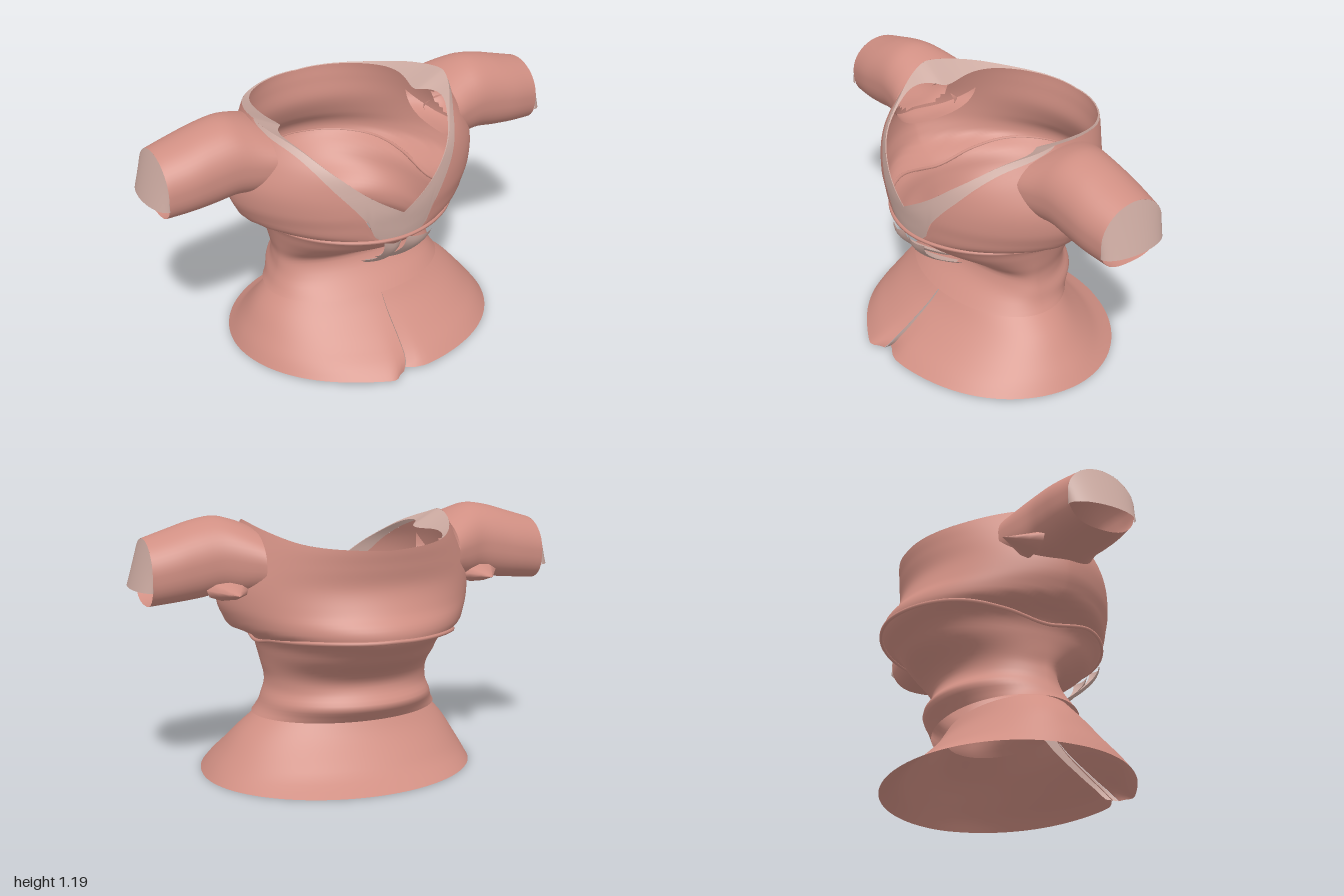
import * as THREE from 'three';
import { mergeVertices } from 'three/addons/utils/BufferGeometryUtils.js';

const PI = Math.PI;
const lerp = THREE.MathUtils.lerp;
const paint = (name, color) => {
  const m = new THREE.MeshStandardMaterial({ color, side: THREE.DoubleSide });
  m.name = name;
  return m;
};

// Smooth interpolation through [key, value...] rows; k picks the value column
function curve(rows, k = 1) {
  const n = rows.length;
  const slope = (i) => {
    const a = rows[Math.max(i - 1, 0)], b = rows[Math.min(i + 1, n - 1)];
    return (b[k] - a[k]) / (b[0] - a[0]);
  };
  return (x) => {
    x = Math.min(Math.max(x, rows[0][0]), rows[n - 1][0]);
    let i = 0;
    while (i < n - 2 && x > rows[i + 1][0]) i++;
    const a = rows[i], b = rows[i + 1], h = b[0] - a[0], s = (x - a[0]) / h;
    const s2 = s * s, s3 = s2 * s;
    return a[k] * (2 * s3 - 3 * s2 + 1) + b[k] * (3 * s2 - 2 * s3)
      + h * (slope(i) * (s3 - 2 * s2 + s) + slope(i + 1) * (s3 - s2));
  };
}

// Grid surface from point(u, v) with u, v in 0..1; quads matching skip are left open
function surface(point, nu, nv, skip) {
  const pos = [], idx = [], w = nu + 1;
  for (let j = 0; j <= nv; j++)
    for (let i = 0; i <= nu; i++) pos.push(...point(i / nu, j / nv));
  for (let j = 0; j < nv; j++)
    for (let i = 0; i < nu; i++) {
      if (skip && skip(...point((i + 0.5) / nu, (j + 0.5) / nv))) continue;
      const a = j * w + i, b = a + w;
      idx.push(a, a + 1, b + 1, a, b + 1, b);
    }
  let g = new THREE.BufferGeometry();
  g.setAttribute('position', new THREE.Float32BufferAttribute(pos, 3));
  g.setIndex(idx);
  g = mergeVertices(g, 1e-5);
  g.computeVertexNormals();
  return g;
}

// Rows are [height, half width, front depth, back depth, taper]; taper over 1 narrows the diagonals
const ringFrom = (rows) => {
  const [rx, zf, zb, taper] = [1, 2, 3, 4].map((k) => curve(rows, k));
  return (t, y, s = 1) => {
    const c = Math.cos(t), d = Math.abs(c) ** taper(y);
    return [s * rx(y) * Math.sin(t), y, s * (c > 0 ? d * zf(y) : -d * zb(y))];
  };
};

const body = ringFrom([
  [0.27, 0.445, 0.295, 0.305, 1], [0.30, 0.425, 0.265, 0.33, 1], [0.35, 0.405, 0.21, 0.37, 1],
  [0.40, 0.39, 0.175, 0.335, 1], [0.45, 0.385, 0.17, 0.325, 0.95], [0.50, 0.395, 0.25, 0.36, 1],
  [0.57, 0.41, 0.36, 0.46, 1.05], [0.62, 0.425, 0.41, 0.51, 1.1], [0.655, 0.455, 0.44, 0.55, 1.15],
  [0.69, 0.54, 0.445, 0.58, 1.25], [0.74, 0.575, 0.45, 0.575, 1.3], [0.80, 0.60, 0.455, 0.53, 1.3],
  [0.90, 0.60, 0.445, 0.49, 1.25], [1.00, 0.56, 0.42, 0.50, 1.25], [1.10, 0.51, 0.34, 0.51, 1.25],
  [1.17, 0.48, 0.28, 0.47, 1.2],
]);
const skirt = ringFrom([
  [0, 0.64, 0.575, 0.53, 1], [0.05, 0.61, 0.52, 0.44, 1], [0.1, 0.575, 0.45, 0.385, 1],
  [0.2, 0.5, 0.33, 0.29, 1], [0.29, 0.405, 0.255, 0.235, 1],
]);

// Heights of the seams, by angle from the front (0) to the back (PI)
const fold = (t) => (t > PI ? 2 * PI - t : t);
const bandRow = curve([[0, 0.655], [1, 0.66], [1.6, 0.62], [2, 0.655], [2.5, 0.685], [PI, 0.695]]);
const neckRow = curve([[0, 0.785], [0.22, 0.87], [0.5, 0.985], [0.85, 1.09], [1.3, 1.15],
  [1.6, 1.165], [2, 1.14], [2.5, 1.09], [PI, 1.07]]);
const trimRow = curve([[0.25, 0.69], [0.28, 0.76], [0.48, 0.905], [0.8, 1.045], [1.2, 1.12], [1.5, 1.16]]);
const bandY = (t) => bandRow(fold(t));
const neckY = (t) => neckRow(fold(t));
const trimY = (t) => {
  const f = fold(t);
  if (f < 0.25) return bandY(t);
  return f > 1.5 ? neckY(t) : Math.min(trimRow(f), neckY(t));
};

export function createModel() {
  const root = new THREE.Group();
  const rose = paint('rose cloth', 0xd08f83);
  const pale = paint('pale lining', 0xcdaba2);
  const add = (name, geo, mat, parent = root) => {
    const m = new THREE.Mesh(geo, mat);
    m.name = name;
    parent.add(m);
    return m;
  };

  // Bodice with open armholes, V neck trim and shoulder facing
  const armhole = (x, y, z) => Math.abs(x) > 0.3 && ((z + 0.02) / 0.13) ** 2 + ((y - 0.95) / 0.09) ** 2 < 1;
  add('bodice', surface((u, v) => {
    const t = u * 2 * PI;
    return body(t, lerp(bandY(t), trimY(t), v));
  }, 144, 24, armhole), rose);
  add('neckTrim', surface((u, v) => {
    const t = lerp(-1.5, 1.5, u);
    return body(t, lerp(trimY(Math.abs(t)), neckY(Math.abs(t)), v));
  }, 96, 6), pale);
  add('neckFacing', surface((u, v) => {
    const t = u * 2 * PI, w = 0.13 * Math.exp(-(((fold(t) - 1.65) / 0.5) ** 2)) + 0.004;
    const [x, y, z] = body(t, neckY(t));
    const k = 1 - (v * w) / Math.hypot(x, z);
    return [x * k, y - v * w * 0.55, z * k];
  }, 96, 3), pale);

  // Under-bust seam ridge
  const seam = [];
  for (let i = 0; i < 48; i++) {
    const t = (i / 48) * 2 * PI;
    seam.push(new THREE.Vector3(...body(t, bandY(t), 1.012)));
  }
  add('bustSeam', new THREE.TubeGeometry(new THREE.CatmullRomCurve3(seam, true), 144, 0.009, 6, true), rose);

  // Waist with soft gathers above a flat hem
  add('waist', surface((u, v) => {
    const t = u * 2 * PI, y = lerp(0.275, bandY(t), v);
    return body(t, y, 1 + 0.03 * Math.sin(3 * t + y * 60) * v * Math.max(0, 1 - v * 2));
  }, 96, 24), rose);
  add('waistFacing', surface((u, v) =>
    body(lerp(-1, 1, u) * lerp(0.06, 0.14, v), lerp(0.42, 0.65, v), 0.975), 6, 10), pale);

  // Flared peplum, split at the front with the left edge tucked under the right
  const flare = (t, v) => {
    const f = fold(t), front = Math.max(0, Math.cos(t));
    const [x, y, z] = skirt(t, 0.29 * (1 - v));
    const notch = 0.05 * v ** 4 * Math.exp(-((f / 0.08) ** 2));
    const lap = 0.035 * v * Math.exp(-(((2 * PI - t) / 0.3) ** 2));
    const shift = 0.035 * v * (1 - 1.6 * Math.exp(-((f / 0.5) ** 2)));
    const hook = 0.03 * v ** 8 * Math.exp(-((f / 0.15) ** 2));
    return [x + shift - hook, y + 0.015 * front * v, z + lap - notch];
  };
  add('peplum', surface((u, v) => flare(u * 2 * PI, 1 - v), 144, 14), rose);
  add('peplumPlacket', surface((u, v) => {
    const [x, y, z] = flare(2 * PI, 1 - v);
    return [x + 0.003 + 0.006 * u, y, z - 0.065 * u];
  }, 1, 14), pale);

  // Ribbon ends hanging from the front seam
  const ribbonZ = curve([[0.4, 0.18], [0.43, 0.23], [0.5, 0.33], [0.57, 0.405], [0.62, 0.44], [0.66, 0.45]]);
  for (const [top, foot, half] of [[-0.05, -0.04, 0.045], [0.085, 0.035, 0.065]])
    add('ribbon', surface((u, v) => {
      const y = lerp(0.4, 0.655, v), s = 2 * u - 1;
      return [lerp(foot, top, v) + s * half * (0.2 + 0.8 * v), y, ribbonZ(y) + 0.022 * (1 - s * s)];
    }, 8, 12), pale);

  // Short sleeves: [x, top, bottom, front, back] rings along the arm
  const rings = [
    [0.46, 1.14, 0.86, 0.19, -0.27], [0.54, 1.172, 0.85, 0.17, -0.235], [0.62, 1.19, 0.855, 0.16, -0.205],
    [0.72, 1.175, 0.84, 0.155, -0.2], [0.82, 1.145, 0.83, 0.15, -0.2], [0.935, 1.11, 0.82, 0.13, -0.19],
  ];
  const [top, bottom, front, back] = [1, 2, 3, 4].map((k) => curve(rings, k));
  const arm = (a, x) => {
    const c = Math.cos(a), s = Math.sin(a), p = s > 0 ? 1 : 0.75;
    const bulge = (q) => Math.sign(q) * Math.abs(q) ** p;
    return [x, (top(x) + bottom(x)) / 2 + bulge(s) * (top(x) - bottom(x)) / 2,
      (front(x) + back(x)) / 2 + bulge(c) * (front(x) - back(x)) / 2];
  };
  for (const side of [1, -1]) {
    const sleeve = new THREE.Group();
    sleeve.name = side > 0 ? 'leftSleeve' : 'rightSleeve';
    sleeve.scale.x = side;
    root.add(sleeve);
    add('sleeveTube', surface((u, v) => arm(-u * 2 * PI, lerp(0.46, 0.935, v)), 48, 20), rose, sleeve);
    // Drooping cuff flap over the opening
    add('cuff', surface((u, v) => {
      const a = lerp(PI * 1.08, -PI * 0.08, u), [x, y, z] = arm(a, 0.935);
      return [x + 0.065 * v * Math.max(0, Math.sin(a)), lerp(y, 0.9, v), z];
    }, 24, 4), pale, sleeve);
    // Gathered pucker behind the armpit
    const pucker = add('armpitFold', new THREE.ConeGeometry(0.1, 0.15, 9, 3, true), rose, sleeve);
    pucker.position.set(0.6, 0.885, -0.245);
    pucker.rotation.x = -PI / 2;
    pucker.scale.z = 0.45;
  }
  return root;
}
